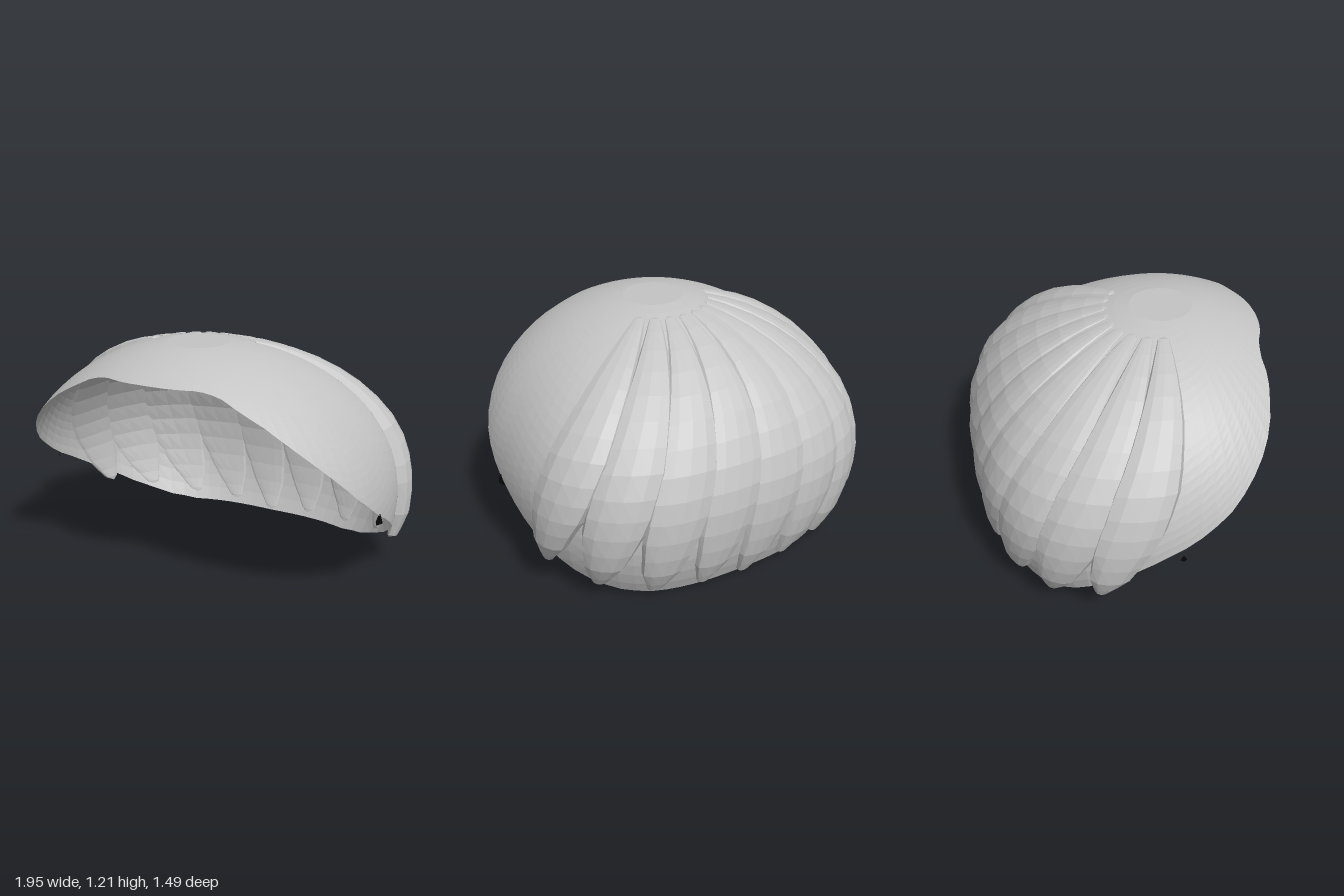
import * as THREE from 'three';

const RX = 0.94, RZ = 0.955, CX = 0.02, CY = 0.42, CZ = 0.25;
const rad = THREE.MathUtils.degToRad;

// Piecewise linear lookup in [key, value] pairs
function lookup(pairs, k) {
  if (k <= pairs[0][0]) return pairs[0][1];
  for (let i = 1; i < pairs.length; i++) {
    const [a, p] = pairs[i - 1], [b, q] = pairs[i];
    if (k <= b) return p + (q - p) * (k - a) / (b - a);
  }
  return pairs[pairs.length - 1][1];
}

// Squareness of the head's horizontal outline: round in front, fuller behind
const outlinePower = (dz, s) => (dz < 0 ? 2 + 0.9 * s * s : 2);
const heightRadius = (c) => (c >= 0 ? 0.802 : 0.95);

// Point on the head: az from the front (+z) towards +x, th down from the crown
function onHead(az, th, lift = 0) {
  const s = Math.sin(th), c = Math.cos(th), sx = Math.sin(az), cz = Math.cos(az);
  const ry = heightRadius(c), n = outlinePower(cz, s);
  const r = s / Math.pow(Math.pow(Math.abs(sx), n) + Math.pow(Math.abs(cz), n), 1 / n);
  const normal = new THREE.Vector3(s * sx / RX, c / ry, s * cz / RZ).normalize();
  return new THREE.Vector3(CX + RX * r * sx, CY + ry * c, CZ + RZ * r * cz).addScaledVector(normal, lift);
}

// Hairline as side profile points (z, y), turned into crown angle by azimuth
const hairline = [
  [0.745, 1.105], [0.69, 1.1], [0.67, 1.08], [0.66, 0.97], [0.6, 0.84], [0.5, 0.715], [0.4, 0.61],
  [0.2, 0.46], [0, 0.35], [-0.2, 0.23], [-0.35, 0.12], [-0.47, 0.035], [-0.54, 0.005], [-0.62, 0],
].map(([z, y]) => {
  const c = (y - CY) / heightRadius(y - CY), dz = (z - CZ) / RZ;
  const s = Math.sqrt(1 - c * c), n = outlinePower(dz, s);
  const x = Math.pow(Math.max(0, Math.pow(s, n) - Math.pow(Math.abs(dz), n)), 1 / n);
  return [Math.atan2(x, dz), Math.acos(c)];
});
const edgeAngle = (az) => lookup(hairline, Math.abs(Math.atan2(Math.sin(az), Math.cos(az))));

// Surface from rows of points, each row closed around
function loft(rows, cols, point) {
  const pos = [], idx = [];
  for (let j = 0; j <= rows; j++)
    for (let i = 0; i < cols; i++) pos.push(...point(j, i).toArray());
  for (let j = 0; j < rows; j++)
    for (let i = 0; i < cols; i++) {
      const k = (i + 1) % cols;
      const a = j * cols + i, b = j * cols + k, c = a + cols, d = b + cols;
      idx.push(a, c, b, b, c, d);
    }
  const g = new THREE.BufferGeometry();
  g.setAttribute('position', new THREE.Float32BufferAttribute(pos, 3));
  g.setIndex(idx);
  g.computeVertexNormals();
  return g;
}

// Cap shell with a small flat crown
function capGeometry() {
  const rows = 24, cols = 80, crown = 0.165;
  return loft(rows, cols, (j, i) => {
    const az = (i / cols) * Math.PI * 2;
    if (j === 0) return new THREE.Vector3(CX, onHead(0, crown).y, CZ);
    return onHead(az, crown + (edgeAngle(az) - crown) * (j - 1) / (rows - 1));
  });
}

// Half width and height of a lock from root to tip
const lockWidth = [[0, 0], [0.015, 0.028], [0.15, 0.064], [0.3, 0.103], [0.55, 0.152], [0.75, 0.15], [0.9, 0.095], [0.985, 0.034], [1, 0]];
const lockHeight = [[0, 0], [0.015, 0.005], [0.3, 0.025], [0.6, 0.046], [0.9, 0.042], [0.985, 0.026], [1, 0]];
const lockSteps = [0, 0.015, 0.08, 0.16, 0.24, 0.32, 0.4, 0.48, 0.56, 0.64, 0.71, 0.78, 0.84, 0.9, 0.95, 0.985, 1];

// Swept lock following a curve of azimuths (root, middle, tip); the side locks are fuller and longer
function lockGeometry(root, mid, tip) {
  const bend = 2 * mid - (root + tip) / 2;
  const azimuth = (u) => (1 - u) * (1 - u) * root + 2 * u * (1 - u) * bend + u * u * tip;
  const endTh = edgeAngle(tip) - 0.05 * Math.abs(Math.sin(2 * tip)) + 0.2 * Math.pow(Math.sin(tip), 6);
  const fullness = 1 + 1.2 * Math.pow(Math.sin(tip), 4);
  const sides = 12;
  return loft(lockSteps.length - 1, sides, (j, i) => {
    const u = lockSteps[j], a = (i / sides) * Math.PI * 2;
    const th = 0.28 + (endTh - 0.28) * u;
    const across = Math.cos(a) * lookup(lockWidth, u) / (0.96 * Math.sin(th));
    const up = Math.sin(a), h = lookup(lockHeight, u) * fullness;
    return onHead(azimuth(u) + across, th, up > 0 ? h * Math.pow(up, 0.65) : 0.2 * h * up);
  });
}

export function createModel() {
  const group = new THREE.Group();
  const hair = new THREE.MeshStandardMaterial({ color: 0xc4c4c4, side: THREE.DoubleSide, flatShading: true });
  hair.name = 'hairGrey';
  const black = new THREE.MeshStandardMaterial({ color: 0x050505, flatShading: true });
  black.name = 'black';

  const add = (name, geometry, material) => {
    const mesh = new THREE.Mesh(geometry, material);
    mesh.name = name;
    group.add(mesh);
    return mesh;
  };

  add('hairCap', capGeometry(), hair);

  // Nine overlapping locks fanned round the back
  for (let i = 0; i < 9; i++) {
    const root = 180 - (-80 + i * 15.4);
    const mid = 180 - (-75 + i * 15.7);
    const tip = 180 - (-62 + i * 15.5);
    add('hairLock' + (i + 1), lockGeometry(rad(root), rad(mid), rad(tip)), hair);
  }

  // Small dark studs below the hairline at the ears
  const leftStud = add('leftStud', new THREE.ConeGeometry(0.5, 1, 4), black);
  leftStud.scale.set(0.035, 0.055, 0.08);
  leftStud.position.set(0.957, 0.438, 0.17);
  const rightStud = add('rightStud', new THREE.ConeGeometry(0.5, 1, 4), black);
  rightStud.scale.set(0.02, 0.03, 0.035);
  rightStud.position.set(-0.953, 0.425, 0.155);

  return group;
}
